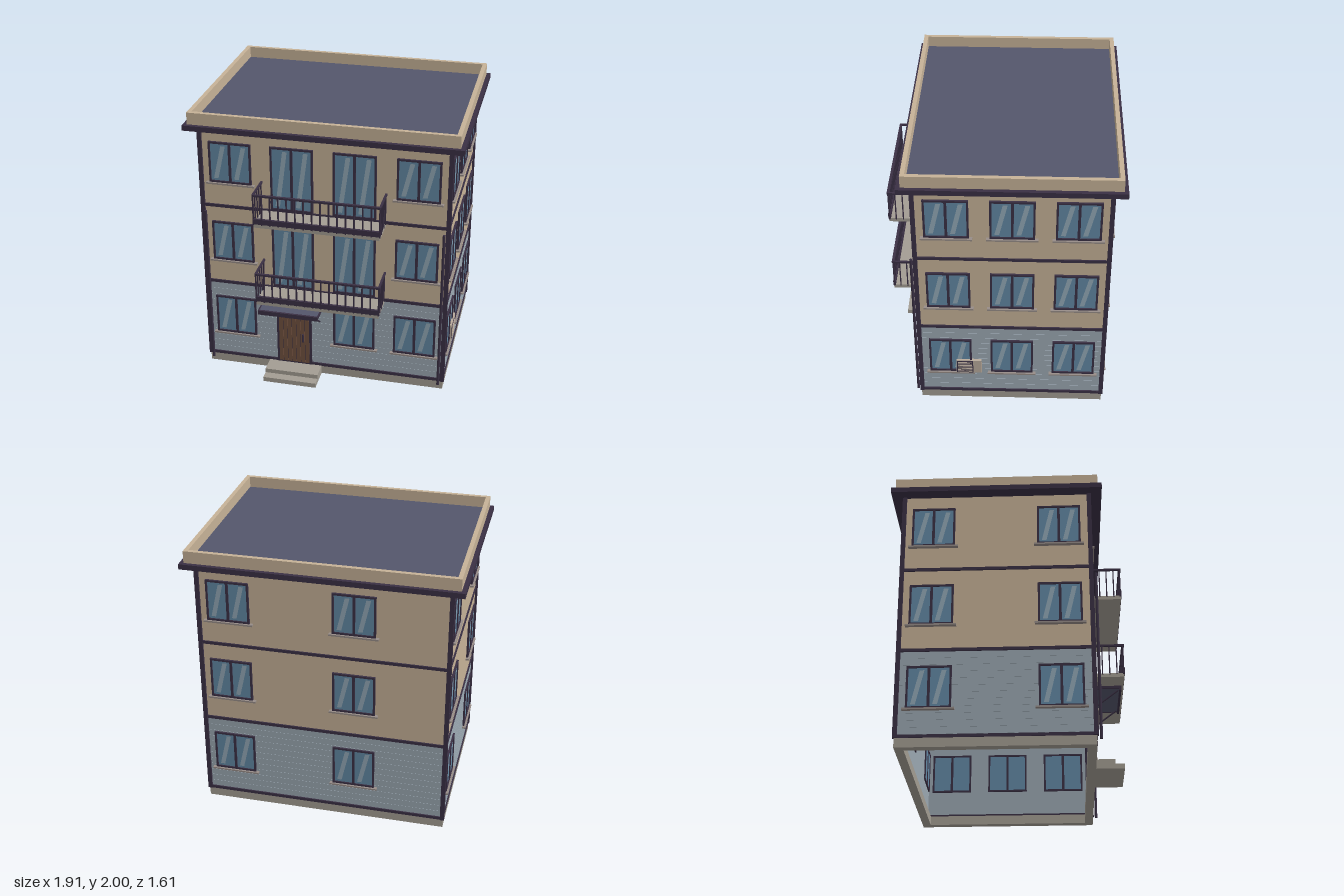
import * as THREE from 'three';

const colours = {
  trim: 0x3a3044, tanWall: 0xc6b297, blueWall: 0x9ba8b2, stone: 0xa39d93, roofDeck: 0x54566b,
  glass: 0x6288a4, glint: 0x93a9b7, doorWood: 0x70503f, sill: 0x978d88, unitCasing: 0xb8aa9b,
};
const M = {};

// Building footprint
const W = 1.73, D = 1.295, ZC = -0.0675, FRONT = ZC + D / 2, STOREY = 0.607;

function add(parent, name, geometry, mat, x = 0, y = 0, z = 0) {
  const mesh = new THREE.Mesh(geometry, mat);
  mesh.name = name;
  mesh.position.set(x, y, z);
  parent.add(mesh);
  return mesh;
}

// Box given by its extents
function box(parent, name, mat, x0, x1, y0, y1, z0, z1) {
  return add(parent, name, new THREE.BoxGeometry(x1 - x0, y1 - y0, z1 - z0), mat,
    (x0 + x1) / 2, (y0 + y1) / 2, (z0 + z1) / 2);
}

function rect(Type, x0, x1, y0, y1) {
  const r = new Type();
  r.moveTo(x0, y0); r.lineTo(x1, y0); r.lineTo(x1, y1); r.lineTo(x0, y1); r.closePath();
  return r;
}

// Hollow rectangular ring around the footprint; out = distance beyond the walls
function ring(parent, name, mat, out, thick, y0, y1) {
  const w = W / 2 + out, d = D / 2 + out;
  const shape = rect(THREE.Shape, -w, w, -d, d);
  shape.holes.push(rect(THREE.Path, -w + thick, w - thick, -d + thick, d - thick));
  const g = new THREE.ExtrudeGeometry(shape, { depth: y1 - y0, bevelEnabled: false });
  g.rotateX(-Math.PI / 2);
  return add(parent, name, g, mat, 0, y0, ZC);
}

// Straight round bar between two points
function bar(parent, name, mat, a, b, r) {
  const p = new THREE.Vector3(...a), q = new THREE.Vector3(...b);
  const mesh = add(parent, name, new THREE.CylinderGeometry(r, r, p.distanceTo(q), 8), mat);
  mesh.position.copy(p).add(q).multiplyScalar(0.5);
  mesh.quaternion.setFromUnitVectors(new THREE.Vector3(0, 1, 0), q.sub(p).normalize());
}

// Two-pane window through the wall, facing +z, origin at bottom centre
function makeWindow(name, h, withSill) {
  const g = new THREE.Group();
  g.name = name;
  const hw = 0.15, e = 0.014, m = 0.009;
  const shape = rect(THREE.Shape, -hw, hw, 0, h);
  for (const s of [-1, 1]) {
    const x0 = s < 0 ? -hw + e : m, x1 = s < 0 ? -m : hw - e;
    shape.holes.push(rect(THREE.Path, x0, x1, e, h - e));
    // slanted reflection on each pane
    const b = 0.03, t = h - 0.03, k = x0 + 0.018;
    const gl = new THREE.Shape([[k, b], [k + 0.032, b], [k + 0.088, t], [k + 0.056, t]]
      .map(p => new THREE.Vector2(...p)));
    add(g, 'paneReflection', new THREE.ShapeGeometry(gl), M.glint, 0, 0, 0.0085);
  }
  add(g, 'windowFrame', new THREE.ExtrudeGeometry(shape, { depth: 0.055, bevelEnabled: false }),
    M.trim, 0, 0, -0.04);
  box(g, 'windowGlass', M.glass, -hw + 0.005, hw - 0.005, 0.005, h - 0.005, -0.035, 0.007);
  if (withSill) box(g, 'windowSill', M.sill, -0.172, 0.172, -0.012, 0, -0.01, 0.028);
  return g;
}

// Place a window on one side of the building; u is the x or z position along it
function placeWindow(parent, side, u, y, h = 0.302, withSill = true) {
  const g = makeWindow(side + 'Window', h, withSill);
  const [x, z, turn] = {
    front: [u, FRONT, 0], back: [u, ZC - D / 2, Math.PI],
    right: [W / 2, u, Math.PI / 2], left: [-W / 2, u, -Math.PI / 2],
  }[side];
  g.position.set(x, y, z);
  g.rotation.y = turn;
  parent.add(g);
}

function makeBalcony(y) {
  const g = new THREE.Group();
  g.name = 'balcony';
  const hw = 0.435, zf = 0.796, top = 0.24;
  box(g, 'balconySlab', M.stone, -hw, hw, 0, 0.028, FRONT - 0.01, 0.8);
  box(g, 'balconyKickBoard', M.trim, -hw - 0.005, hw + 0.005, 0.028, 0.066, 0.787, 0.805);
  box(g, 'frontHandrail', M.trim, -hw - 0.005, hw + 0.005, top - 0.007, top + 0.007, 0.787, 0.805);
  for (let i = 0; i <= 15; i++) {
    const x = -hw + (2 * hw * i) / 15;
    box(g, 'frontBaluster', M.trim, x - 0.005, x + 0.005, 0.02, top, zf - 0.005, zf + 0.005);
  }
  for (const x of [-hw, hw]) {
    box(g, 'sideHandrail', M.trim, x - 0.007, x + 0.007, top - 0.007, top + 0.007, FRONT, zf);
    for (let i = 0; i < 4; i++) {
      const z = 0.6 + i * 0.05;
      box(g, 'sideBaluster', M.trim, x - 0.004, x + 0.004, 0.02, top, z - 0.004, z + 0.004);
    }
  }
  g.position.y = y;
  return g;
}

function makeEntrance() {
  const g = new THREE.Group();
  g.name = 'entrance';
  // Door with planks and handle
  box(g, 'doorFrame', M.trim, -0.352, -0.094, 0.065, 0.557, FRONT - 0.04, FRONT + 0.012);
  for (let i = 0; i < 7; i++) {
    const x = -0.335 + i * 0.0323;
    box(g, 'doorPlank', M.doorWood, x, x + 0.029, 0.08, 0.542, FRONT, FRONT + 0.017);
  }
  box(g, 'doorHandle', M.trim, -0.162, -0.151, 0.26, 0.325, FRONT, FRONT + 0.03);
  // Steps
  box(g, 'lowerStep', M.stone, -0.413, -0.023, 0, 0.035, FRONT, 0.778);
  box(g, 'upperStep', M.stone, -0.413, -0.023, 0.035, 0.067, FRONT, 0.715);
  // Canopy with struts
  box(g, 'canopy', M.roofDeck, -0.43, -0.008, 0.575, 0.592, FRONT - 0.01, 0.765);
  box(g, 'canopyLip', M.trim, -0.436, -0.002, 0.563, 0.595, 0.76, 0.775);
  for (const x of [-0.433, -0.005])
    box(g, 'canopyEdge', M.trim, x - 0.004, x + 0.004, 0.573, 0.594, FRONT, 0.765);
  for (const x of [-0.405, -0.035])
    bar(g, 'canopyStrut', M.trim, [x, 0.44, FRONT], [x, 0.572, 0.752], 0.006);
  return g;
}

function makeCoolingUnit() {
  const g = new THREE.Group();
  g.name = 'coolingUnit';
  box(g, 'unitCasing', M.unitCasing, W / 2, 0.888, 0.262, 0.378, 0.145, 0.325);
  box(g, 'unitGrille', M.trim, 0.885, 0.891, 0.266, 0.374, 0.205, 0.321);
  for (let i = 0; i < 7; i++) {
    const y = 0.274 + i * 0.0142;
    box(g, 'grilleSlat', M.unitCasing, 0.888, 0.894, y, y + 0.006, 0.212, 0.314);
  }
  return g;
}

export function createModel() {
  for (const [name, color] of Object.entries(colours)) {
    M[name] = new THREE.MeshStandardMaterial({ color });
    M[name].name = name;
  }
  const model = new THREE.Group();
  model.name = 'apartmentBuilding';

  // Plinth, hollow walls and shallow cladding courses
  ring(model, 'plinth', M.stone, 0.005, 0.06, 0, 0.068);
  ring(model, 'groundFloorWall', M.blueWall, 0, 0.03, 0.065, 0.69);
  ring(model, 'upperWall', M.tanWall, 0, 0.03, 0.69, 1.885);
  for (let i = 0; i < 12; i++) {
    const y = 0.09 + i * 0.049;
    ring(model, 'claddingCourse', M.blueWall, 0.002, 0.01, y, y + 0.044);
  }

  // Trim bands, corner posts, downpipes
  for (const y of [0.075, 0.687, 1.297])
    ring(model, 'trimBand', M.trim, 0.009, 0.045, y - 0.011, y + 0.011);
  for (const sx of [-1, 1]) {
    for (const sz of [-1, 1])
      add(model, 'cornerPost', new THREE.BoxGeometry(0.03, 1.815, 0.03), M.trim,
        sx * W / 2, 0.9725, ZC + sz * D / 2);
    bar(model, 'downpipe', M.trim, [sx * 0.84, 0.05, 0.612], [sx * 0.84, 1.26, 0.612], 0.01);
  }

  // Roof
  box(model, 'roofSlab', M.trim, -0.955, 0.955, 1.878, 1.915, -0.805, 0.67);
  box(model, 'roofDeck', M.roofDeck, -0.91, 0.91, 1.913, 1.92, -0.765, 0.63);
  ring(model, 'parapet', M.tanWall, 0.062, 0.03, 1.913, 2);

  // Windows and balcony doors
  for (let floor = 0; floor < 3; floor++) {
    const y = 0.266 + floor * STOREY;
    for (const x of [-0.655, 0.655]) placeWindow(model, 'front', x, y);
    if (floor === 0) placeWindow(model, 'front', 0.218, y);
    else for (const x of [-0.22, 0.218]) placeWindow(model, 'front', x, y - 0.17, 0.472, false);
    for (const x of [0.655, -0.218]) placeWindow(model, 'back', x, y);
    for (const z of [0.365, -0.07, -0.505]) placeWindow(model, 'right', z, y);
    for (const z of [0.365, -0.505]) placeWindow(model, 'left', z, y);
  }

  for (const y of [0.662, 0.662 + STOREY]) model.add(makeBalcony(y));
  model.add(makeEntrance(), makeCoolingUnit());
  return model;
}
